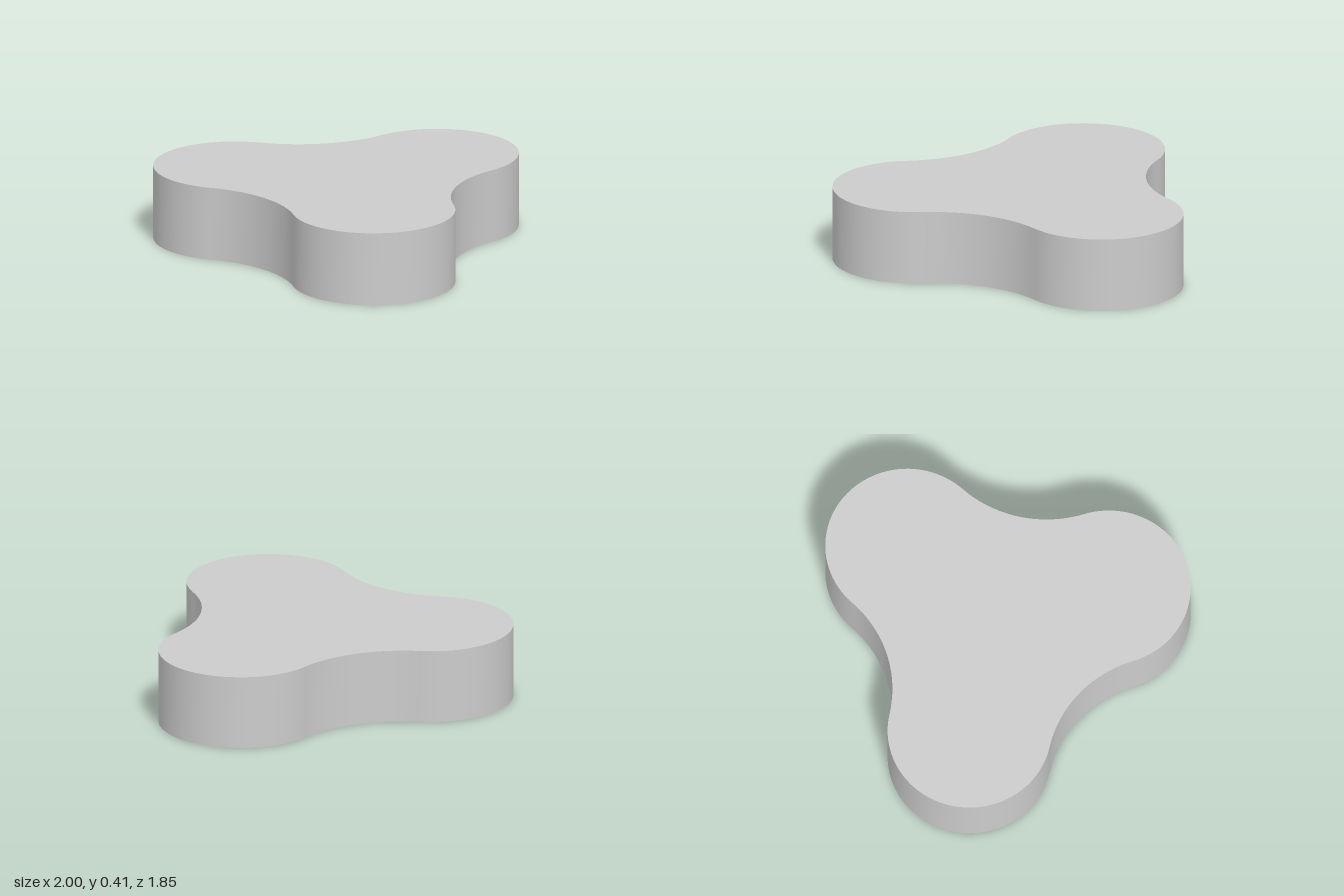
import * as THREE from 'three';

const HEIGHT = 0.405;
const SPAN = 1.115; // distance between lobe centres
const LOBE_RADIUS = 0.4425;
const VALLEY_RADIUS = SPAN - LOBE_RADIUS;
const CENTROID_Y = -0.161;

// Plan outline: three convex half-circle lobes joined by tangent concave arcs
function createOutline() {
  const points = [];
  const addArc = (centreAngle, centreDistance, radius, from, to, segments) => {
    const cx = centreDistance * Math.cos(centreAngle);
    const cy = CENTROID_Y + centreDistance * Math.sin(centreAngle);
    for (let i = 0; i < segments; i++) { // the next arc supplies the end point
      const t = from + (to - from) * i / segments;
      points.push(new THREE.Vector2(cx + radius * Math.cos(t), cy + radius * Math.sin(t)));
    }
  };
  const deg = Math.PI / 180;
  const reach = SPAN / Math.sqrt(3);
  for (let k = 0; k < 3; k++) {
    const a = (90 + 120 * k) * deg;
    addArc(a, reach, LOBE_RADIUS, a - 90 * deg, a + 90 * deg, 48);
    addArc(a + 60 * deg, 2 * reach, VALLEY_RADIUS, a - 90 * deg, a - 150 * deg, 24);
  }
  return points;
}

// Thin vertical wall following the closed outline
function createWallGeometry(outline) {
  const positions = [];
  const indices = [];
  const n = outline.length;
  outline.forEach((p, i) => {
    positions.push(p.x, 0, -p.y, p.x, HEIGHT, -p.y);
    const a = 2 * i;
    const b = 2 * ((i + 1) % n);
    indices.push(a, b, b + 1, a, b + 1, a + 1);
  });
  const geometry = new THREE.BufferGeometry();
  geometry.setAttribute('position', new THREE.Float32BufferAttribute(positions, 3));
  geometry.setIndex(indices);
  geometry.computeVertexNormals();
  return geometry;
}

export function createModel() {
  const group = new THREE.Group();
  group.name = 'threeLobedCover';
  const material = new THREE.MeshStandardMaterial({ color: 0xcccccc, side: THREE.DoubleSide });
  const outline = createOutline();

  // Flat top; the underside stays open
  const topGeometry = new THREE.ShapeGeometry(new THREE.Shape(outline));
  topGeometry.rotateX(-Math.PI / 2).translate(0, HEIGHT, 0);
  const top = new THREE.Mesh(topGeometry, material);
  top.name = 'topPanel';

  const wall = new THREE.Mesh(createWallGeometry(outline), material);
  wall.name = 'sideWall';

  group.add(top, wall);
  return group;
}
